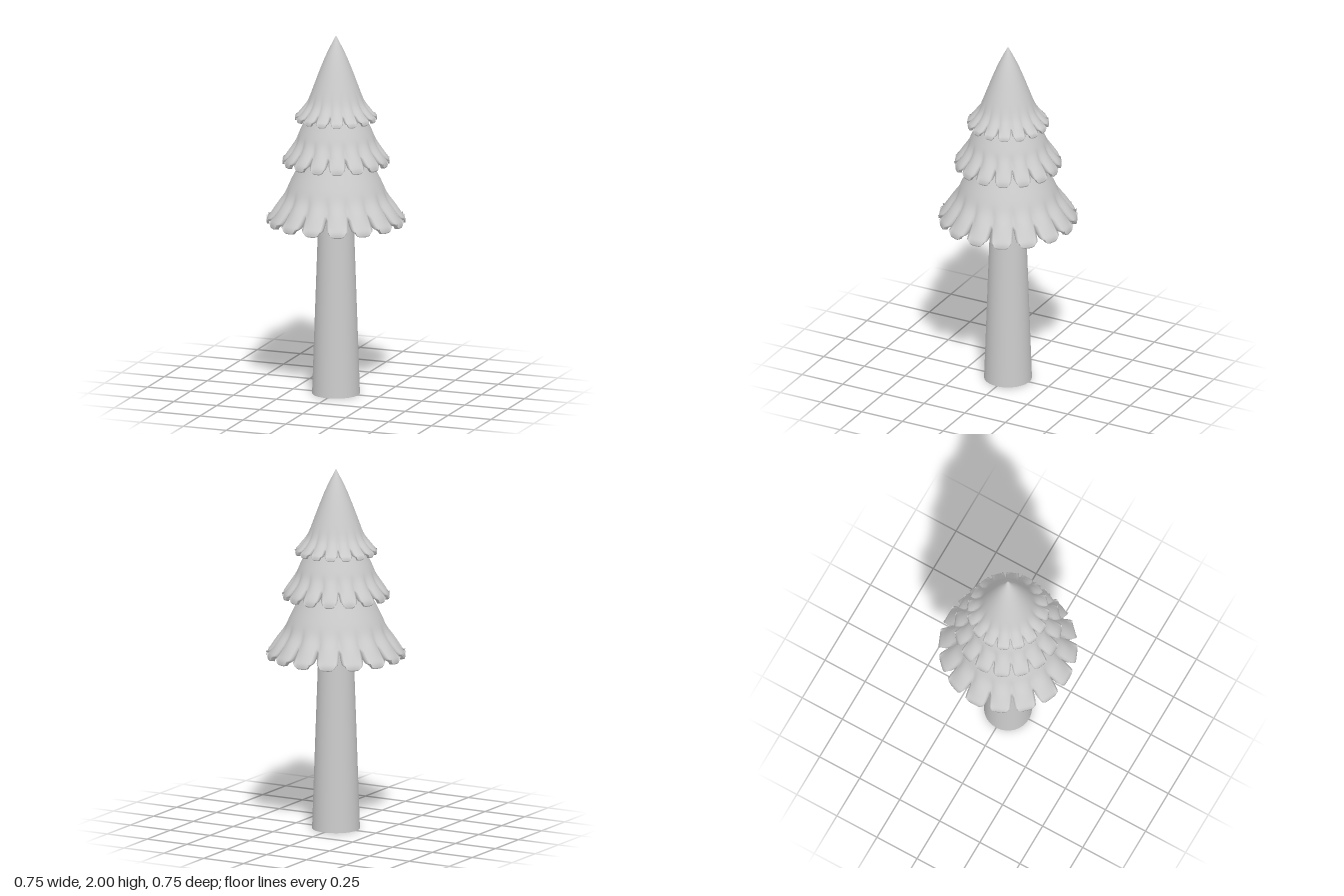
import * as THREE from 'three';
import { mergeGeometries, mergeVertices } from 'three/addons/utils/BufferGeometryUtils.js';

const TABS = 16, COLS = 10, SUB = 3;
const grey = new THREE.MeshStandardMaterial({ color: 0xcccccc, side: THREE.DoubleSide });

// One wedge of a branch skirt: a thick shell running down the profile, ending in a tapered, rounded tab.
// profile: [radius, height] points from top to tip; notch: index of the point where the tabs split.
function skirtWedge(profile, notch, thick) {
  const curve = new THREE.SplineCurve(profile.map(p => new THREE.Vector2(...p)));
  const n = (profile.length - 1) * SUB, split = notch * SUB;
  const tipR = profile[profile.length - 1][0];
  const pos = [], idx = [];
  const rows = 2 * (n + 1), w = COLS + 1;
  for (let row = 0; row < rows; row++) {
    const inner = row > n, i = inner ? rows - 1 - row : row;
    const p = curve.getPoint(i / n), t = curve.getTangent(i / n);
    const tab = Math.max(0, (i - split) / (n - split));
    // Folds deepen towards the notch and flatten out at the tip
    const fold = THREE.MathUtils.smoothstep(i, split - 1.6 * SUB, split) * (1 - tab);
    for (let j = 0; j <= COLS; j++) {
      const u = (2 * j) / COLS - 1;
      const a = (Math.PI / TABS) * u * (1 - 0.33 * tab);
      const d = inner ? thick * (1 - 0.45 * u * u * tab) : 0;
      let r = p.x - 0.06 * tipR * u * u * fold;
      r += r * (1 / Math.cos(a) - 1) * tab;
      r = Math.max(0, r + t.y * d);
      const y = p.y - t.x * d + thick * 1.1 * u ** 4 * tab ** 3;
      pos.push(r * Math.sin(a), y, r * Math.cos(a));
    }
  }
  const quad = (a, b, c, d) => idx.push(a, b, c, a, c, d);
  for (let i = 0; i < rows - 1; i++)
    for (let j = 0; j < COLS; j++)
      quad(i * w + j, (i + 1) * w + j, (i + 1) * w + j + 1, i * w + j + 1);
  // Side walls of the tab
  for (let i = split; i < n; i++) {
    const o = i * w, q = (rows - 1 - i) * w;
    quad(o, q, q - w, o + w);
    quad(o + COLS, o + w + COLS, q - w + COLS, q + COLS);
  }
  const g = new THREE.BufferGeometry();
  g.setAttribute('position', new THREE.Float32BufferAttribute(pos, 3));
  g.setIndex(idx);
  return g;
}

function skirt(name, profile, notch, thick) {
  const wedge = skirtWedge(profile, notch, thick);
  const parts = [];
  for (let k = 0; k < TABS; k++) parts.push(wedge.clone().rotateY((k / TABS) * Math.PI * 2));
  const g = mergeVertices(mergeGeometries(parts), 1e-4);
  g.computeVertexNormals();
  const mesh = new THREE.Mesh(g, grey);
  mesh.name = name;
  return mesh;
}

export function createModel() {
  const tree = new THREE.Group();
  tree.name = 'tree';

  // Tapered trunk, reaching up inside the branches
  const trunk = new THREE.Mesh(new THREE.CylinderGeometry(0.085, 0.13, 1.3, 48), grey);
  trunk.position.y = 0.65;
  trunk.name = 'trunk';
  tree.add(trunk);

  // Three overlapping tiers of branches
  tree.add(skirt('lowerBranches', [
    [0.12, 1.42], [0.165, 1.35], [0.2, 1.28], [0.245, 1.19], [0.278, 1.12],
    [0.322, 1.06], [0.355, 1.01], [0.373, 0.98], [0.376, 0.955]], 5, 0.03));
  tree.add(skirt('middleBranches', [
    [0.1, 1.68], [0.135, 1.6], [0.168, 1.53], [0.195, 1.47], [0.217, 1.42],
    [0.25, 1.37], [0.274, 1.335], [0.287, 1.31], [0.29, 1.285]], 5, 0.025));
  tree.add(skirt('topBranches', [
    [0, 2], [0.05, 1.9], [0.087, 1.81], [0.117, 1.73], [0.152, 1.64],
    [0.188, 1.59], [0.208, 1.565], [0.219, 1.55], [0.222, 1.53]], 5, 0.02));
  return tree;
}
